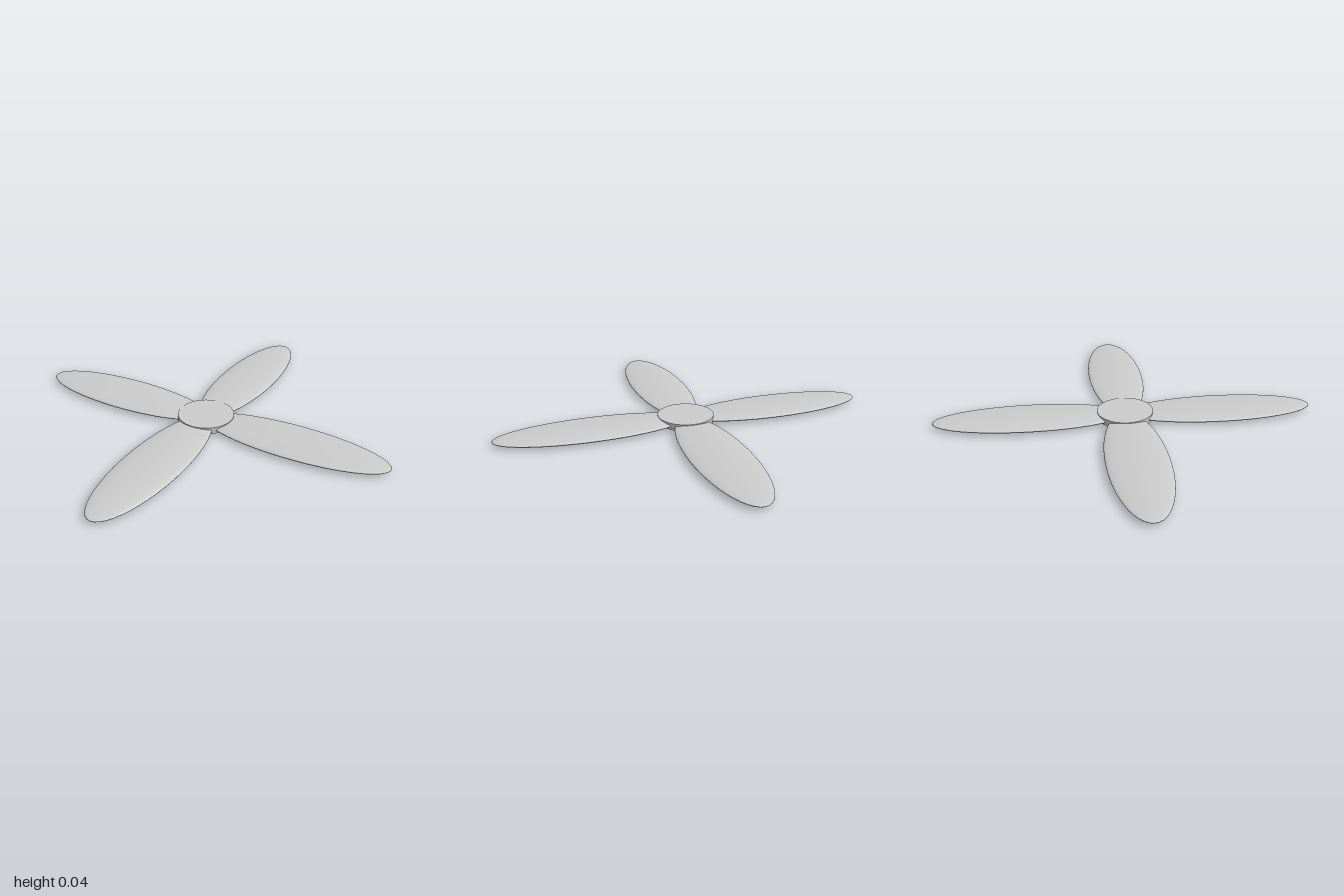
import * as THREE from 'three';

export function createModel() {
  const model = new THREE.Group();
  model.name = 'propeller';
  const material = new THREE.MeshStandardMaterial({ color: 0xcccccc });
  const halfThickness = 0.02;

  // Flat round hub
  const hub = new THREE.Mesh(new THREE.CylinderGeometry(0.148, 0.148, 0.036, 48), material);
  hub.name = 'hub';
  hub.position.y = halfThickness;
  model.add(hub);

  // Four flattened ellipsoid blades running from the centre to the tips
  const bladeGeometry = new THREE.SphereGeometry(1, 48, 32);
  bladeGeometry.scale(0.5, halfThickness, 0.154);
  bladeGeometry.translate(0.5, halfThickness, 0);
  for (let i = 0; i < 4; i++) {
    const blade = new THREE.Mesh(bladeGeometry, material);
    blade.name = `blade${i + 1}`;
    blade.rotation.y = (i * Math.PI) / 2;
    model.add(blade);
  }
  return model;
}
